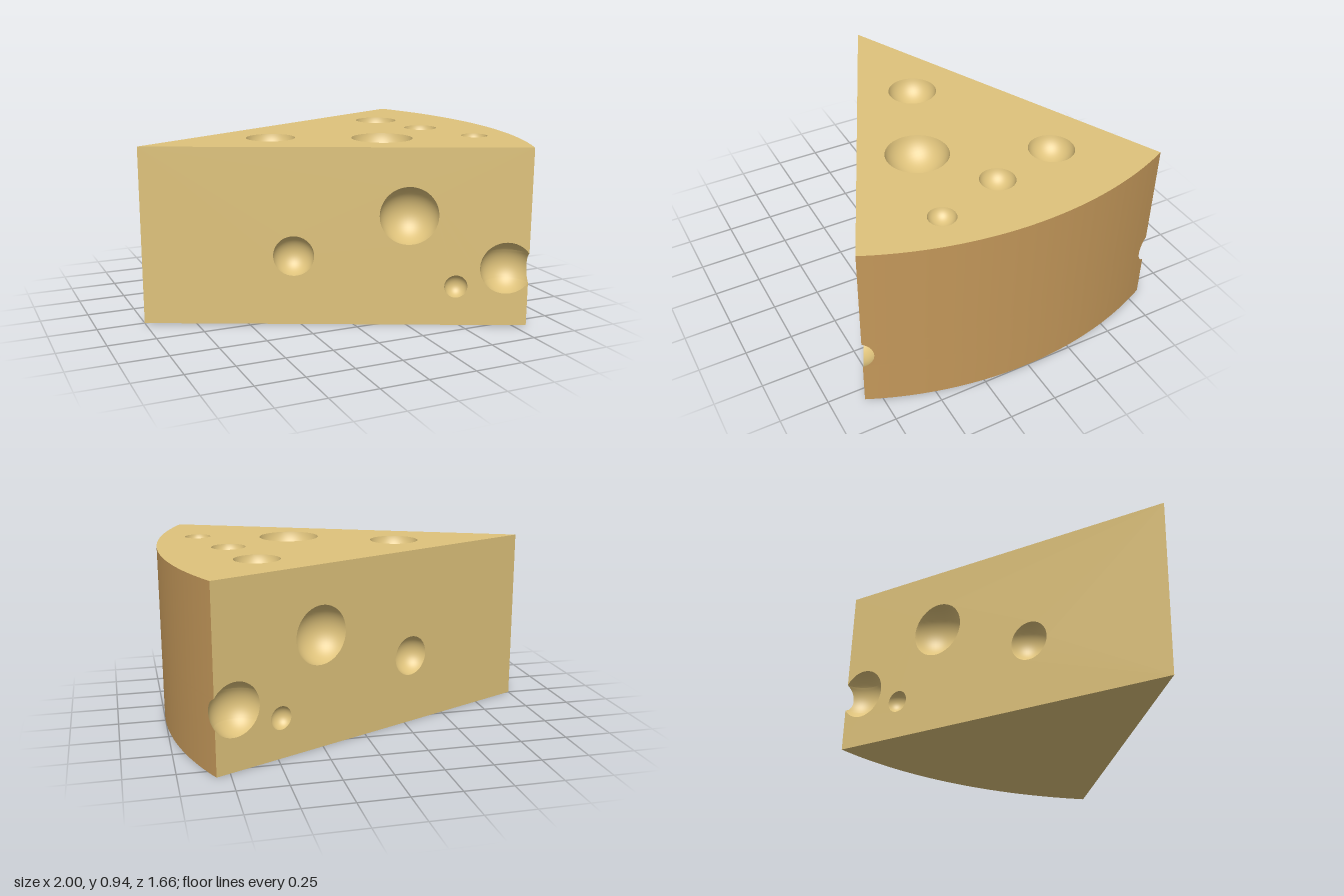
import * as THREE from 'three';

const R = 2, H = 0.94, A = 0.4291;        // wedge radius, height, half angle
const ROWS = 32, COLS = 24, ARC = 48;

// Holes as [u, v, radius] on their own face
const topHoles = [[-0.28, 0, 0.13], [0.26, -0.245, 0.163], [0.535, 0.37, 0.118], [0.63, 0, 0.09], [0.755, -0.37, 0.07]];
const sideHoles = [[0.787, 0.37, 0.106], [1.38, 0.585, 0.152], [1.628, 0.21, 0.06]];
const cornerHole = [1.887, 0.31, 0.137];

const cheese = new THREE.MeshStandardMaterial({ color: 0xdec27b });
cheese.name = 'cheese';
const rindColor = new THREE.MeshStandardMaterial({ color: 0xc4985a });
rindColor.name = 'rind';

// Face frames: (u, v) across the face, d is the depth below it
const topMap = (u, v, d) => [u, H - d, -v];
const bottomMap = (u, v) => [u, 0, -v];
const sideMap = k => (u, v, d) => [
  -1 + u * Math.cos(A) + d * Math.sin(A), v, k * (u * Math.sin(A) - d * Math.cos(A))];

function makeGeometry(points, index, flip) {
  if (flip) for (let i = 0; i < index.length; i += 3) [index[i], index[i + 1]] = [index[i + 1], index[i]];
  const g = new THREE.BufferGeometry();
  g.setAttribute('position', new THREE.Float32BufferAttribute(points.flat(), 3));
  g.setIndex(index);
  g.computeVertexNormals();
  return g;
}

// Surface through rows of equally many points
function loft(rows, flip = false) {
  const n = rows[0].length, index = [];
  for (let i = 0; i < rows.length - 1; i++) {
    for (let j = 0; j < n - 1; j++) {
      const a = i * n + j, c = a + n;
      index.push(a, a + 1, c + 1, a, c + 1, c);
    }
  }
  return makeGeometry(rows.flat(), index, flip);
}

// Flat face with holes, laid into a frame
function face(shape, map, flip = false) {
  const flat = new THREE.ShapeGeometry(shape), p = flat.attributes.position, points = [];
  for (let i = 0; i < p.count; i++) points.push(map(p.getX(i), p.getY(i), 0));
  return makeGeometry(points, Array.from(flat.index.array), flip);
}

const steps = Array.from({ length: ROWS + 1 }, (_, i) => Math.PI * i / ROWS);
const rim = ([u, v, r], t, side) => new THREE.Vector2(u + side * r * Math.sin(t), v - r * Math.cos(t));

function holePath(h) {
  const left = steps.map(t => rim(h, t, -1));
  const right = steps.slice(1, -1).reverse().map(t => rim(h, t, 1));
  return new THREE.Path([...left, ...right]);
}

// Cross-section of a bowl at row t, as [u, depth]; optionally stopped at the rind
function section([u, , r], t, clip) {
  const d = 0.18 * r;                     // sphere centre lies just outside the face
  const rho = Math.hypot(d, r * Math.sin(t));
  const at = q => [u - rho * Math.cos(q), rho * Math.sin(q) - d];
  const start = Math.asin(Math.min(1, d / rho));
  let end = Math.PI - start;
  if (clip && Math.hypot(...at(end)) > R) {
    let lo = start;
    for (let i = 0; i < 40; i++) {
      const mid = (lo + end) / 2;
      if (Math.hypot(...at(mid)) > R) end = mid; else lo = mid;
    }
  }
  return Array.from({ length: COLS + 1 }, (_, j) => at(start + (end - start) * j / COLS));
}

function bowl(h, map, flip = false, ts = steps, clip = false) {
  return loft(ts.map(t => {
    const v = h[1] - h[2] * Math.cos(t);
    return section(h, t, clip).map(([u, d]) => map(u, v, d));
  }), flip);
}

export function createModel() {
  const group = new THREE.Group();
  const add = (name, geometry, material = cheese) => {
    const mesh = new THREE.Mesh(geometry, material);
    mesh.name = name;
    group.add(mesh);
  };

  // Top and bottom sectors
  const sector = () => {
    const pts = [new THREE.Vector2(-1, 0)];
    for (let j = 0; j <= ARC; j++) {
      const q = A * (2 * j / ARC - 1);
      pts.push(new THREE.Vector2(-1 + R * Math.cos(q), R * Math.sin(q)));
    }
    return new THREE.Shape(pts);
  };
  const top = sector();
  top.holes = topHoles.map(holePath);
  add('topFace', face(top, topMap));
  add('bottomFace', face(sector(), bottomMap, true));
  topHoles.forEach((h, i) => add(`topHole${i + 1}`, bowl(h, topMap)));

  // Rows of the corner hole, including where its rim meets the rind edge
  const [cu, cv, cr] = cornerHole;
  const t0 = Math.asin((R - cu) / cr), t1 = Math.PI - t0;
  const ts = [...steps, t0, t1].sort((a, b) => a - b);

  // Cut sides, each with a bite out of its outer edge
  const side = new THREE.Shape([
    new THREE.Vector2(0, 0), new THREE.Vector2(R, 0),
    ...ts.filter(t => t > 0 && t <= t0).reverse().map(t => rim(cornerHole, t, 1)),
    ...ts.map(t => rim(cornerHole, t, -1)),
    ...ts.filter(t => t >= t1 && t < Math.PI).reverse().map(t => rim(cornerHole, t, 1)),
    new THREE.Vector2(R, H), new THREE.Vector2(0, H),
  ]);
  side.holes = sideHoles.map(holePath);
  for (const [name, k] of [['front', 1], ['back', -1]]) {
    const map = sideMap(k), flip = k < 0;
    add(`${name}Side`, face(side, map, flip));
    sideHoles.forEach((h, i) => add(`${name}Hole${i + 1}`, bowl(h, map, flip)));
    add(`${name}CornerHole`, bowl(cornerHole, map, flip, ts, true));
  }

  // Curved rind, narrowed where the corner holes break through
  const rindRow = (y, e) => Array.from({ length: ARC + 1 }, (_, j) => {
    const q = e * (1 - 2 * j / ARC);
    return [-1 + R * Math.cos(q), y, R * Math.sin(q)];
  });
  const notch = ts.filter(t => t >= t0 && t <= t1).map(t => {
    const [u, d] = section(cornerHole, t, true)[COLS];
    return rindRow(cv - cr * Math.cos(t), A - Math.max(0, Math.atan2(d, u)));
  });
  add('rind', loft([rindRow(0, A), ...notch, rindRow(H, A)]), rindColor);

  return group;
}
